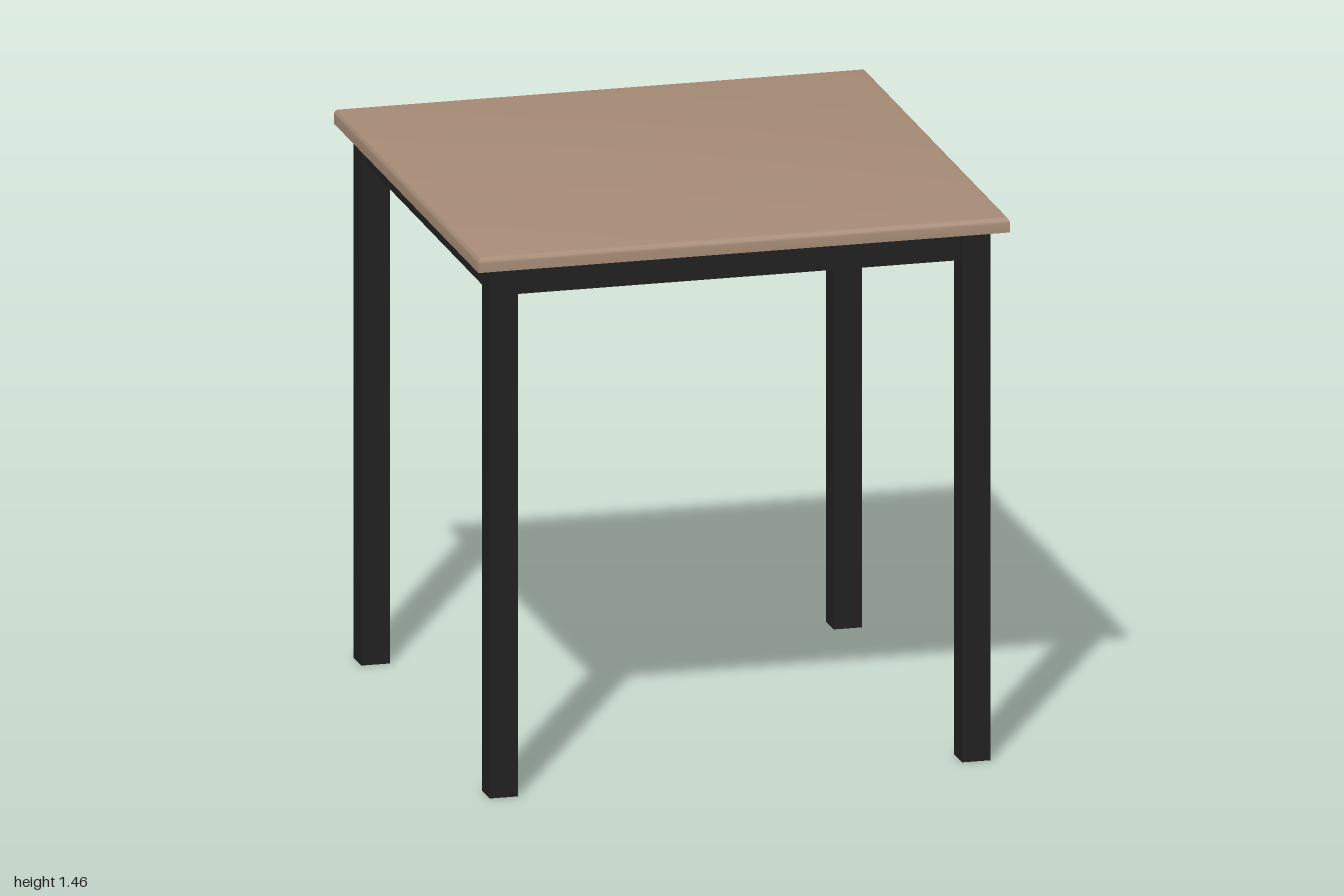
import * as THREE from 'three';
import { toCreasedNormals } from 'three/addons/utils/BufferGeometryUtils.js';

const wood = new THREE.MeshStandardMaterial({ name: 'light brown wood', color: 0xa68b76 });
const metal = new THREE.MeshStandardMaterial({ name: 'black metal', color: 0x212121 });

const LEG = 0.076, LEG_POS = 0.628, LEG_TOP = 1.42;
const RAIL_H = 0.08, RAIL_T = 0.05, RAIL_INSET = 0.012;

export function createModel() {
  const table = new THREE.Group();
  table.name = 'table';

  const add = (name, geometry, material, x, y, z, turn = 0) => {
    const mesh = new THREE.Mesh(geometry, material);
    mesh.name = name;
    mesh.position.set(x, y, z);
    mesh.rotation.y = turn;
    table.add(mesh);
  };

  // Square top with a softened upper edge: a four-sided lathe, radius = half diagonal
  const profile = [[0, 0], [1, 0], [1, 0.024]];
  for (let i = 1; i <= 4; i++) {
    const a = (i / 4) * Math.PI / 2;
    profile.push([0.98 + 0.02 * Math.cos(a), 0.024 + 0.016 * Math.sin(a)]);
  }
  profile.push([0, 0.04]);
  const top = new THREE.LatheGeometry(profile.map(p => new THREE.Vector2(...p)), 4, Math.PI / 4);
  add('tableTop', toCreasedNormals(top, 0.6), wood, 0, LEG_TOP, 0);

  // Four square legs
  const leg = new THREE.BoxGeometry(LEG, LEG_TOP, LEG);
  for (const sx of [-1, 1]) {
    for (const sz of [-1, 1]) add('leg', leg, metal, sx * LEG_POS, LEG_TOP / 2, sz * LEG_POS);
  }

  // Four rails between the legs, set slightly behind their outer faces
  const rail = new THREE.BoxGeometry(2 * LEG_POS - LEG, RAIL_H, RAIL_T);
  const out = LEG_POS + LEG / 2 - RAIL_INSET - RAIL_T / 2;
  for (let i = 0; i < 4; i++) {
    const a = i * Math.PI / 2;
    add('rail', rail, metal, out * Math.sin(a), LEG_TOP - RAIL_H / 2, out * Math.cos(a), a);
  }

  // The whole table stands turned on the floor
  table.rotation.y = -THREE.MathUtils.degToRad(42.42);
  const model = new THREE.Group();
  model.name = 'model';
  model.add(table);
  return model;
}
